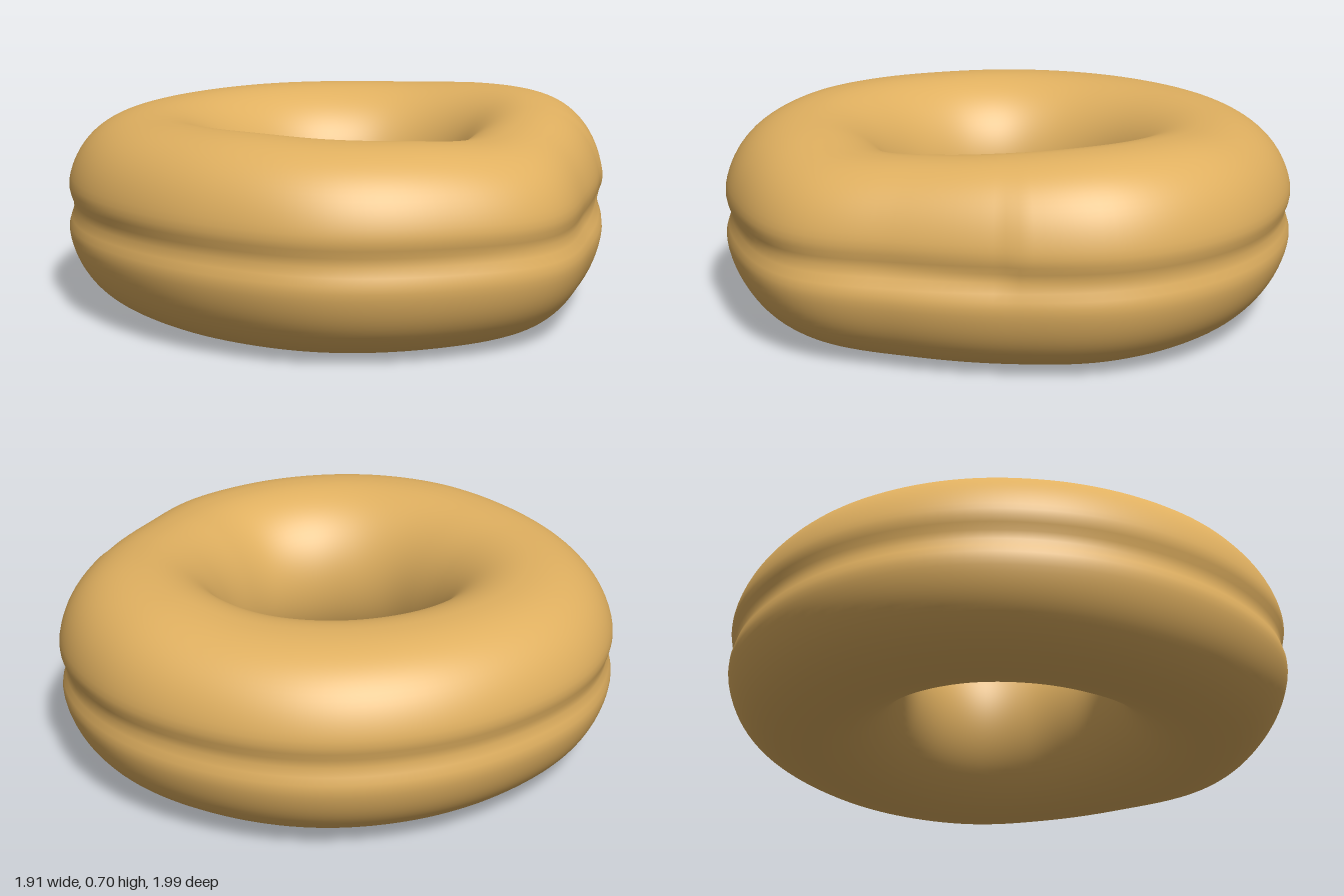
import * as THREE from 'three';

// Values at 16 even angles, starting at +x and turning towards +z
const OUTER = [0.95, 0.95, 1.025, 1.01, 1.0, 0.96, 0.94, 0.95, 0.965, 0.97, 0.965, 0.98, 1.0, 1.005, 1.02, 1.01];
const INNER = [0.395, 0.38, 0.385, 0.385, 0.37, 0.36, 0.345, 0.34, 0.34, 0.335, 0.335, 0.34, 0.35, 0.375, 0.4, 0.41];
const TOP = [0.68, 0.66, 0.648, 0.665, 0.675, 0.682, 0.675, 0.665, 0.662, 0.662, 0.665, 0.667, 0.667, 0.672, 0.69, 0.696];

// Smooth periodic interpolation (Catmull-Rom) of a ring of values
function sample(values, t) {
  const n = values.length, f = t * n, i = Math.floor(f), u = f - i;
  const [a, b, c, d] = [-1, 0, 1, 2].map((k) => values[(i + k + n) % n]);
  return b + 0.5 * u * (c - a + u * (2 * a - 5 * b + 4 * c - d + u * (3 * (b - c) + d - a)));
}

// Rounded section swept round an uneven ring, with a groove along the outside
function ringGeometry(around, section) {
  const positions = [], index = [];
  for (let i = 0; i < around; i++) {
    const t = i / around, theta = t * Math.PI * 2;
    const outer = sample(OUTER, t), inner = sample(INNER, t), top = sample(TOP, t);
    const mid = (outer + inner) / 2, half = (outer - inner) / 2;
    const bottom = 0.006 - 0.006 * Math.cos(theta - 1);
    // The upper half is set back a little on the flattened side
    const dent = 0.02 * Math.exp(-(((theta - 0.35) / 0.45) ** 2));
    for (let j = 0; j < section; j++) {
      const phi = (j / section) * Math.PI * 2;
      const c = Math.cos(phi), s = Math.sin(phi);
      const power = c > 0 ? 2 / 2.25 : 1;
      const y = (top + bottom) / 2 + ((top - bottom) / 2) * Math.sign(s) * Math.abs(s) ** power;
      let r = mid + half * Math.sign(c) * Math.abs(c) ** power;
      if (c > 0) {
        r -= (0.026 + dent * 0.4) * Math.exp(-(((y - 0.345) / 0.05) ** 2));
        r -= dent * c * THREE.MathUtils.smoothstep(y, 0.3, 0.42);
      }
      positions.push(r * Math.cos(theta), y, r * Math.sin(theta));
      const j2 = (j + 1) % section, i2 = (i + 1) % around;
      const a = i * section + j, b = i * section + j2;
      const d = i2 * section + j, e = i2 * section + j2;
      index.push(a, b, d, b, e, d);
    }
  }
  const geometry = new THREE.BufferGeometry();
  geometry.setAttribute('position', new THREE.Float32BufferAttribute(positions, 3));
  geometry.setIndex(index);
  geometry.computeVertexNormals();
  return geometry;
}

export function createModel() {
  const model = new THREE.Group();
  model.name = 'doughnut';
  const dough = new THREE.Mesh(ringGeometry(144, 96), new THREE.MeshStandardMaterial({ color: 0xe0b060 }));
  dough.name = 'doughRing';
  model.add(dough);
  return model;
}
